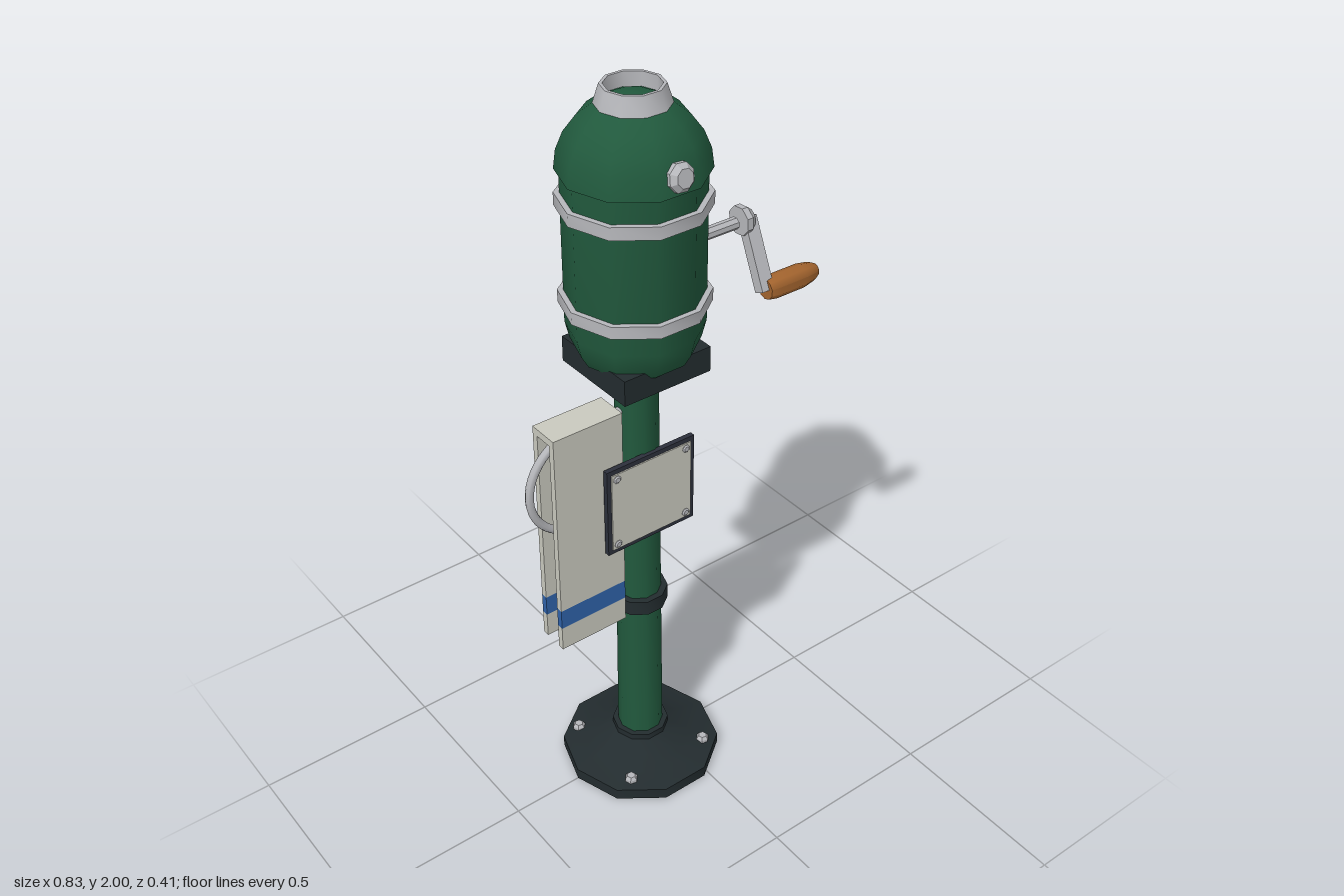
import * as THREE from 'three';
import { toCreasedNormals } from 'three/addons/utils/BufferGeometryUtils.js';

const mat = (name, color) => new THREE.MeshStandardMaterial({ name, color });

export function createModel() {
  const green = mat('green paint', 0x21593d);
  const dark = mat('dark iron', 0x232c2f);
  const steel = mat('steel', 0xb6b7bb);
  const cream = mat('cream', 0xc9c9be);
  const blue = mat('blue', 0x2f62a8);
  const wood = mat('wood', 0xa3642e);
  const frame = mat('sign frame', 0x2c303b);

  const model = new THREE.Group();
  model.name = 'crankPost';
  const AXIS = -0.083; // x of the post

  function add(name, geometry, material, x = 0, y = 0, z = 0, parent = model) {
    const mesh = new THREE.Mesh(geometry, material);
    mesh.name = name;
    mesh.position.set(x, y, z);
    parent.add(mesh);
    return mesh;
  }
  const box = (w, h, d) => new THREE.BoxGeometry(w, h, d);
  // Turned part from [radius, height] pairs, with corners on the x axis
  function turned(points, sides = 10, crease = 0.7) {
    const profile = points.map(([r, y]) => new THREE.Vector2(r, y));
    return toCreasedNormals(new THREE.LatheGeometry(profile, sides, Math.PI / 10), crease);
  }
  // Chamfered bolt head standing on y = 0
  const boltHead = (r, h, sides = 8) =>
    turned([[0, 0], [r, 0], [r, h * 0.5], [r * 0.65, h], [0, h]], sides, 0.3);

  // Base, post and collar
  add('base', turned([[0, 0], [0.218, 0], [0.218, 0.033], [0.2, 0.038], [0.135, 0.056],
    [0.077, 0.092], [0.077, 0.11], [0, 0.11]]), dark, AXIS);
  for (let i = 0; i < 4; i++) {
    const a = Math.PI / 4 + i * Math.PI / 2;
    add('baseBolt', boltHead(0.018, 0.017, 6), steel,
      AXIS + 0.177 * Math.cos(a), 0.041, 0.177 * Math.sin(a));
  }
  add('post', turned([[0.062, 0.1], [0.054, 1.3]]), green, AXIS);
  add('collar', turned([[0.055, 0.553], [0.076, 0.553], [0.076, 0.596], [0.055, 0.596]]), dark, AXIS);
  add('bracket', box(0.252, 0.068, 0.252), dark, AXIS, 1.318, 0);

  // Barrel, bands and dome
  add('barrel', turned([[0, 1.333], [0.138, 1.333], [0.156, 1.365], [0.167, 1.41],
    [0.167, 1.805]]), green, AXIS);
  for (const y of [1.48, 1.729]) {
    add('band', turned([[0.165, y - 0.016], [0.181, y - 0.016], [0.181, y + 0.016],
      [0.165, y + 0.016]]), steel, AXIS);
  }
  const dome = [[0.16, 1.802]];
  for (let i = 0; i <= 6; i++) {
    const a = (i / 6) * Math.PI / 2;
    dome.push([i === 6 ? 0 : 0.178 * Math.cos(a), 1.802 + 0.177 * Math.sin(a)]);
  }
  add('dome', turned(dome), green, AXIS);
  add('fillerNeck', turned([[0.066, 1.95], [0.09, 1.95], [0.074, 2], [0.066, 2], [0.066, 1.95]]),
    steel, AXIS);
  const knob = add('domeKnob', boltHead(0.035, 0.026), steel, AXIS, 1.842, 0.16);
  knob.rotation.x = Math.PI / 2 - 0.2;

  // Crank
  const sideways = (geometry) => geometry.rotateZ(-Math.PI / 2);
  const crank = new THREE.Group();
  crank.name = 'crank';
  model.add(crank);
  add('crankShaft', sideways(turned([[0, 0], [0.016, 0], [0.016, 0.155], [0, 0.155]], 8)), steel,
    0.06, 1.57, 0, crank);
  add('crankHub', sideways(boltHead(0.038, 0.033)), steel, 0.225, 1.572, 0, crank);
  const arm = add('crankArm', box(0.037, 0.185, 0.03), steel, 0.252, 1.49, 0.036, crank);
  arm.rotation.x = -Math.atan2(0.073, 0.162);
  add('crankGrip', sideways(turned([[0, 0], [0.027, 0], [0.031, 0.025], [0.031, 0.11],
    [0.025, 0.145], [0.017, 0.16], [0, 0.16]], 10)), wood, 0.254, 1.408, 0.073, crank);

  // Sign
  const sign = new THREE.Group();
  sign.name = 'sign';
  sign.position.set(-0.087, 0.932, 0);
  model.add(sign);
  add('signFrame', box(0.268, 0.256, 0.014), frame, 0, 0, 0.056, sign);
  add('signPanel', box(0.244, 0.23, 0.004), cream, 0, 0, 0.0645, sign);
  for (const x of [-1, 1]) for (const y of [-1, 1]) {
    const screw = add('signScrew', boltHead(0.011, 0.006), steel, x * 0.106, y * 0.1, 0.065, sign);
    screw.rotation.x = Math.PI / 2;
  }

  // Folded cover: two striped flaps joined along the top
  const cover = new THREE.Group();
  cover.name = 'cover';
  cover.position.x = -0.2575;
  model.add(cover);
  const slices = [[0.55, 0.62, cream], [0.62, 0.677, blue], [0.677, 1.18, cream]];
  for (const z of [-0.034, 0.034]) {
    for (const [y0, y1, m] of slices) {
      add(m === blue ? 'coverStripe' : 'coverFlap', box(0.199, y1 - y0, 0.018), m,
        0, (y0 + y1) / 2, z, cover);
    }
  }
  add('coverTop', box(0.199, 0.02, 0.086), cream, 0, 1.19, 0, cover);

  // U-shaped rail from the post, passing between the flaps
  const rail = [new THREE.Vector3(-0.1, 1.174, 0), new THREE.Vector3(-0.18, 1.174, 0)];
  for (let i = 0; i <= 12; i++) {
    const a = Math.PI / 2 + (i / 12) * Math.PI;
    rail.push(new THREE.Vector3(-0.258 + 0.146 * Math.cos(a), 1.028 + 0.146 * Math.sin(a), 0));
  }
  rail.push(new THREE.Vector3(-0.18, 0.882, 0), new THREE.Vector3(-0.1, 0.882, 0));
  add('rail', new THREE.TubeGeometry(new THREE.CatmullRomCurve3(rail), 40, 0.011, 8), steel);

  return model;
}
